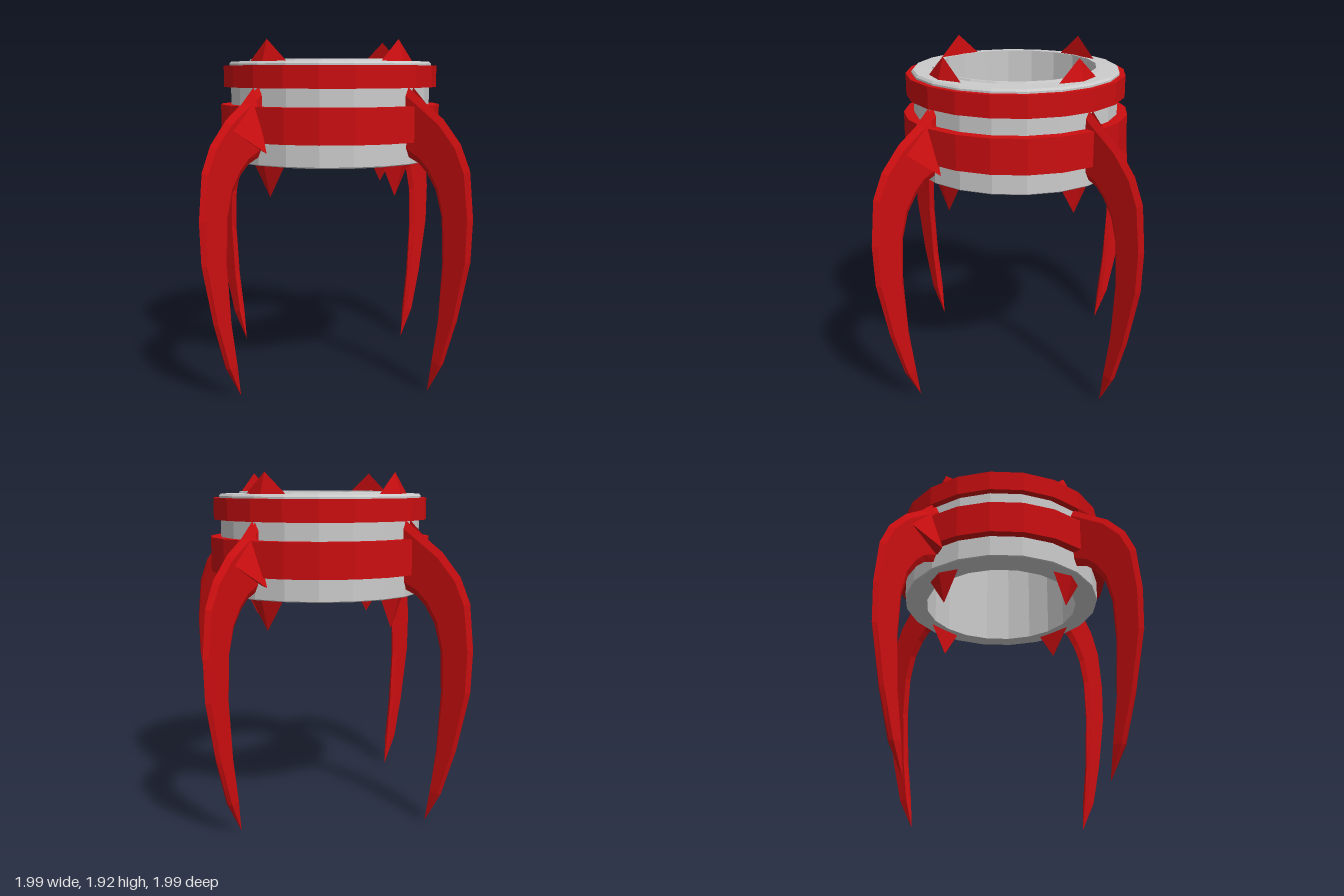
import * as THREE from 'three';
import { ConvexGeometry } from 'three/addons/geometries/ConvexGeometry.js';

const SIDES = 20;

function material(color) {
  return new THREE.MeshStandardMaterial({ color, flatShading: true });
}

function addMesh(parent, name, geometry, mat) {
  const mesh = new THREE.Mesh(geometry, mat);
  mesh.name = name;
  parent.add(mesh);
  return mesh;
}

// Closed ring from a [radius, y] profile running up the outside and down the inside
function ringGeometry(profile) {
  const points = profile.map(([r, y]) => new THREE.Vector2(r, y));
  return new THREE.LatheGeometry([...points, points[0].clone()], SIDES);
}

// Quarter of a band, in five flat segments
function bandGeometry(inner, outer, y0, y1, gap) {
  const steps = 5;
  const corners = [];
  const at = (r, i) => {
    const a = gap + (Math.PI / 2 - 2 * gap) * (i / steps);
    return new THREE.Vector2(Math.sin(a) * r, -Math.cos(a) * r);
  };
  for (let i = 0; i <= steps; i++) corners.push(at(outer, i));
  for (let i = steps; i >= 0; i--) corners.push(at(inner, i));
  const geometry = new THREE.ExtrudeGeometry(new THREE.Shape(corners), { depth: y1 - y0, bevelEnabled: false });
  return geometry.rotateX(-Math.PI / 2).translate(0, y0, 0);
}

// Curved blade: six-sided sections between outer and inner edge, tapering to a point
function clawGeometry() {
  // outer radius, outer y, inner radius, inner y
  const stations = [
    [0.56, 1.68, 0.55, 1.31], [0.80, 1.51, 0.645, 1.27], [0.91, 1.385, 0.70, 1.22],
    [0.97, 1.25, 0.76, 1.13], [0.995, 1.0, 0.80, 0.99], [0.985, 0.77, 0.81, 0.75],
    [0.91, 0.44, 0.79, 0.43], [0.825, 0.18, 0.757, 0.19], [0.725, 0.005, 0.725, 0.005],
  ];
  const positions = [];
  const index = [];
  const last = stations.length - 1;
  stations.forEach(([ro, yo, ri, yi], s) => {
    const w = s === last ? 0 : 0.02;
    const section = [[0, 0], [w, 0.12], [w, 0.88], [0, 1], [-w, 0.88], [-w, 0.12]];
    for (const [x, t] of section) positions.push(x, yo + (yi - yo) * t, ro + (ri - ro) * t);
    if (s === last) return;
    for (let j = 0; j < 6; j++) {
      const a = s * 6 + j;
      const b = s * 6 + ((j + 1) % 6);
      index.push(a, a + 6, b, b, a + 6, b + 6);
    }
  });
  const geometry = new THREE.BufferGeometry();
  geometry.setAttribute('position', new THREE.Float32BufferAttribute(positions, 3));
  geometry.setIndex(index);
  geometry.computeVertexNormals();
  return geometry;
}

function hull(points) {
  return new ConvexGeometry(points.map((p) => new THREE.Vector3(...p)));
}

// Flat three-sided spike, bulging outward
function spikeGeometry(halfWidth, baseY, tipY, tipR) {
  return hull([
    [-halfWidth, baseY, 0.492], [halfWidth, baseY, 0.492], [0, baseY, 0.535], [0, tipY, tipR],
  ]);
}

export function createModel() {
  const model = new THREE.Group();
  model.name = 'clawedRing';
  const grey = material(0xcccccc);
  const red = material(0xcc0e10);

  // Hollow body with a slight inner lip at both ends
  addMesh(model, 'body', ringGeometry([
    [0.465, 1.24], [0.575, 1.255], [0.58, 1.26], [0.58, 1.38], [0.572, 1.40], [0.572, 1.68],
    [0.58, 1.70], [0.58, 1.80], [0.57, 1.812], [0.465, 1.815], [0.46, 1.825],
    [0.45, 1.825], [0.45, 1.24],
  ]), grey);

  // Upper collar
  addMesh(model, 'upperCollar', ringGeometry([
    [0.56, 1.67], [0.612, 1.67], [0.612, 1.79], [0.56, 1.79],
  ]), red);

  // Geometry shared by the four quarters
  const band = bandGeometry(0.55, 0.63, 1.38, 1.572, 0.03);
  const claw = clawGeometry();
  const fin = hull([[0, 1.675, 0.60], [0.108, 1.33, 0.615], [0, 1.48, 0.80], [0, 1.34, 0.56]]);
  const upperSpike = spikeGeometry(0.14, 1.81, 1.93, 0.50);
  const lowerSpike = spikeGeometry(0.12, 1.26, 1.075, 0.485);

  for (let i = 0; i < 4; i++) {
    const turn = (i * Math.PI) / 2;
    addMesh(model, 'lowerBand', band, red).rotation.y = turn;

    const arm = new THREE.Group();
    arm.name = 'arm';
    arm.rotation.y = turn;
    arm.position.x = -0.008;
    addMesh(arm, 'claw', claw, red);
    addMesh(arm, 'clawFin', fin, red);
    addMesh(arm, 'upperSpike', upperSpike, red);
    addMesh(arm, 'lowerSpike', lowerSpike, red);
    model.add(arm);
  }
  return model;
}
